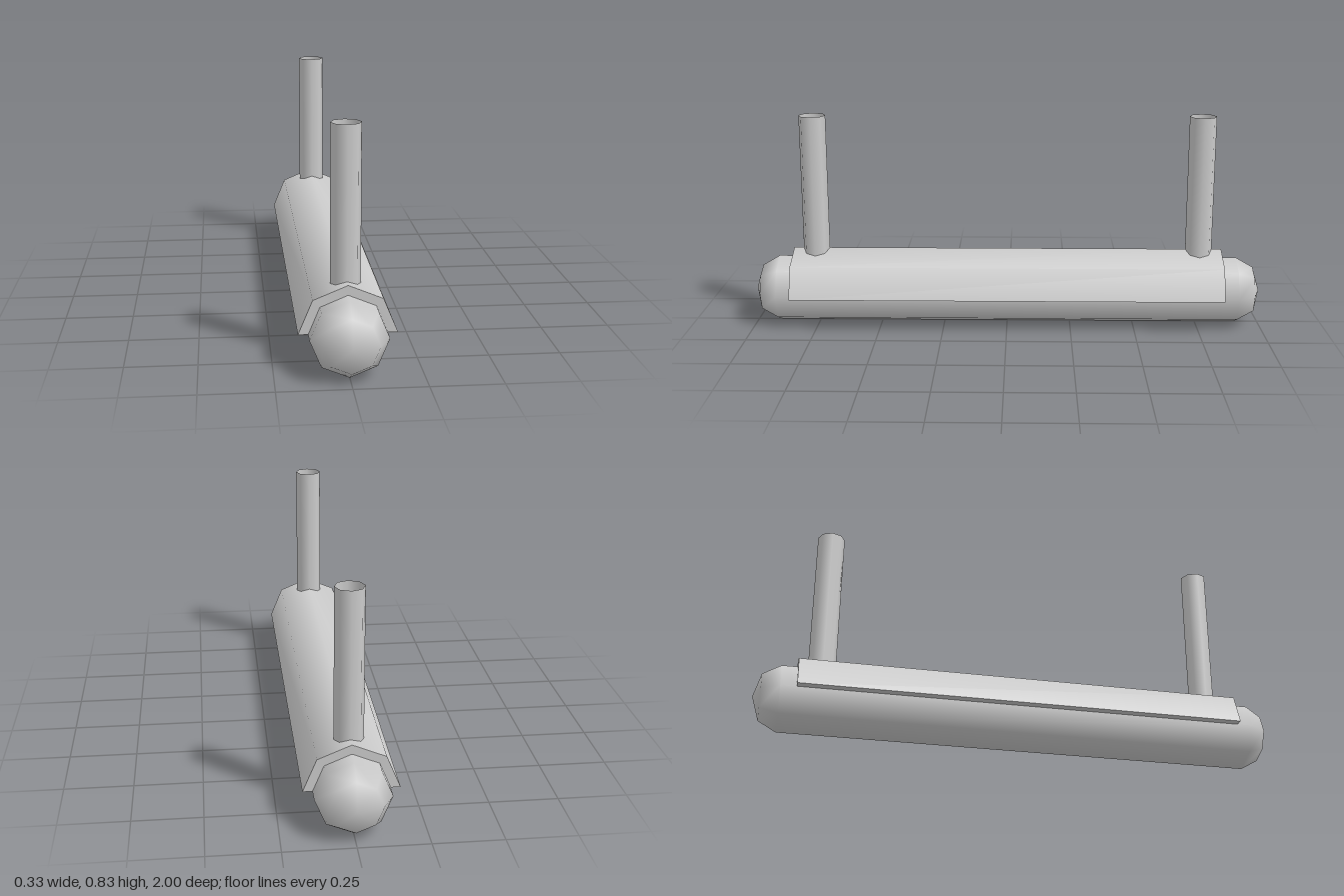
import * as THREE from 'three';
import { toCreasedNormals } from 'three/addons/utils/BufferGeometryUtils.js';

const SIDES = 8;
const RADIUS = 0.133;      // bar radius, also the height of its axis
const COVER_RADIUS = 0.167;
const COVER_LENGTH = 1.69;

export function createModel() {
  const group = new THREE.Group();
  const grey = new THREE.MeshStandardMaterial({ color: 0xcccccc });
  const open = new THREE.MeshStandardMaterial({ color: 0xcccccc, side: THREE.DoubleSide });

  const add = (name, geometry, material, x, y, z) => {
    const mesh = new THREE.Mesh(geometry, material);
    mesh.name = name;
    mesh.position.set(x, y, z);
    group.add(mesh);
  };

  // Eight-sided bar with slightly flattened round ends
  const capDepth = 0.096;
  const squash = capDepth / RADIUS;
  const bar = new THREE.CapsuleGeometry(RADIUS, 2 * (1 - capDepth) / squash, 2, SIDES);
  bar.scale(1, squash, 1);
  bar.rotateX(Math.PI / 2);
  add('bar', bar, grey, 0, RADIUS, 0);

  // Half-octagon cover lying over the top of the bar
  const arc = (r) => [0, 1, 2, 3, 4].map((i) =>
    new THREE.Vector2(r * Math.cos(i * Math.PI / 4), r * Math.sin(i * Math.PI / 4)));
  const section = new THREE.Shape([...arc(COVER_RADIUS), ...arc(RADIUS).reverse()]);
  const cover = new THREE.ExtrudeGeometry(section, { depth: COVER_LENGTH, bevelEnabled: false });
  cover.translate(0, 0, -COVER_LENGTH / 2);
  add('cover', toCreasedNormals(cover, 0.9), grey, 0, RADIUS, 0);

  // Two open upright tubes, sunk a little into the cover
  const bottom = 0.26, top = 0.83;
  const post = new THREE.CylinderGeometry(0.052, 0.052, top - bottom, SIDES, 1, true);
  for (const [name, side] of [['frontPost', 1], ['backPost', -1]]) {
    add(name, post, open, 0, (top + bottom) / 2, side * 0.755);
  }

  return group;
}
